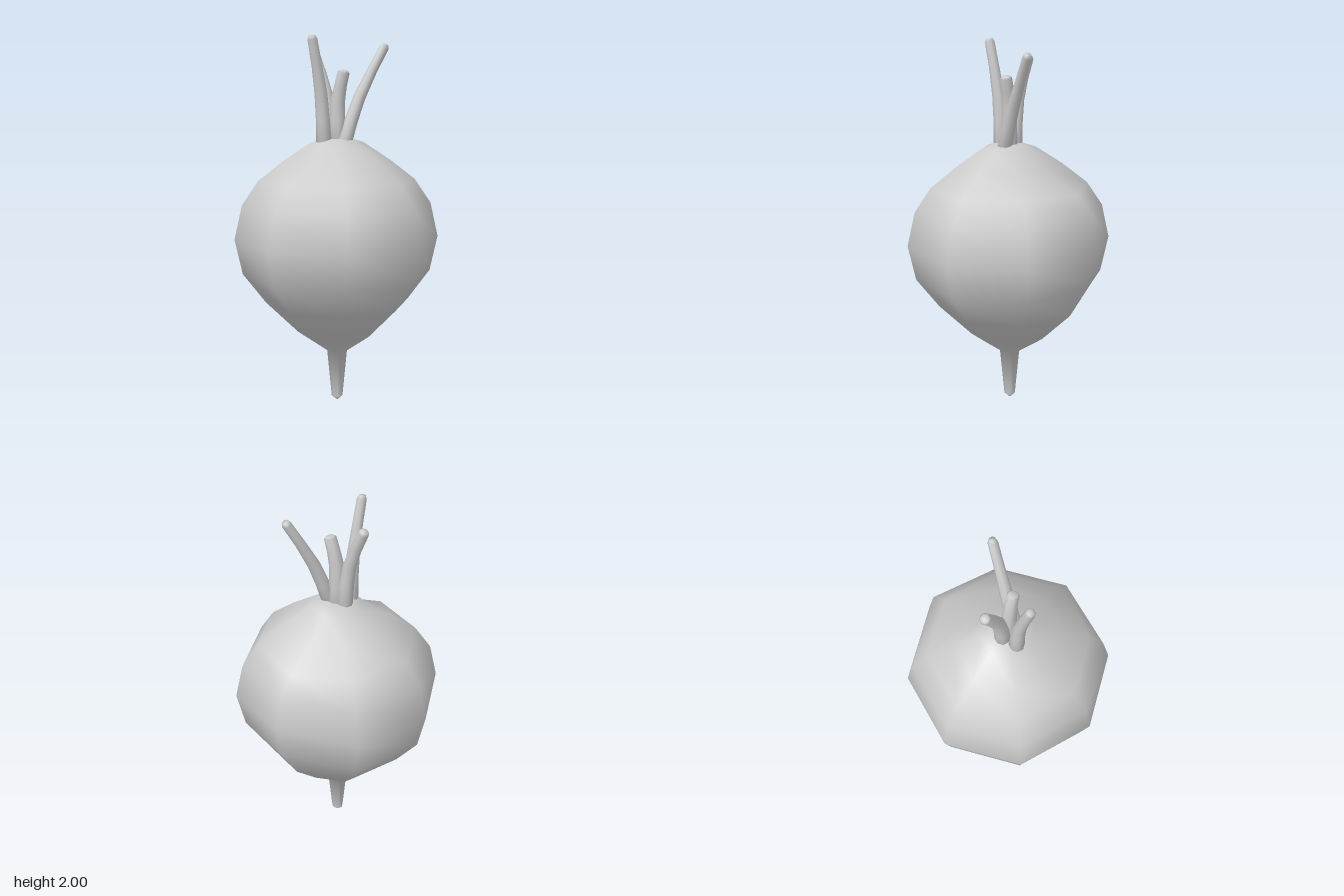
import * as THREE from 'three';
import { mergeVertices } from 'three/addons/utils/BufferGeometryUtils.js';

const material = new THREE.MeshStandardMaterial({ color: 0xcccccc });
const vec2 = ([x, y]) => new THREE.Vector2(x, y);

// Eight-sided turned shape whose vertices are then moved by a rule, smooth shaded
function turned(name, profile, rule) {
  let geo = new THREE.LatheGeometry(profile.map(vec2), 8);
  const pos = geo.attributes.position;
  const v = new THREE.Vector3();
  for (let i = 0; i < pos.count; i++) {
    v.fromBufferAttribute(pos, i);
    rule(v);
    pos.setXYZ(i, v.x, v.y, v.z);
  }
  geo.deleteAttribute('uv');
  geo.deleteAttribute('normal');
  geo = mergeVertices(geo, 1e-4);
  geo.computeVertexNormals();
  const mesh = new THREE.Mesh(geo, material);
  mesh.name = name;
  return mesh;
}

// Tapered stalk following a bent path, with a bevelled tip
function stalk(name, path, r0, r1) {
  const curve = new THREE.CatmullRomCurve3(path.map((p) => new THREE.Vector3(...p)));
  const mid = (r0 + r1) / 2;
  const profile = [[0, 0], [r0, 0], [mid + 0.003, 0.25], [mid, 0.5], [r1 + 0.002, 0.75],
    [r1, 0.97], [r1 * 0.7, 1], [0, 1]];
  return turned(name, profile, (v) => {
    const t = v.y;
    const up = curve.getTangent(t);
    const side = new THREE.Vector3(1, 0, 0).addScaledVector(up, -up.x).normalize();
    const out = new THREE.Vector3().crossVectors(side, up);
    const centre = curve.getPoint(t);
    v.copy(centre.addScaledVector(side, v.x).addScaledVector(out, v.z));
  });
}

export function createModel() {
  const model = new THREE.Group();
  model.name = 'rootVegetable';

  // Round bulb running down into the thin tap root
  const bulbProfile = [[0, 0.005], [0.03, 0.03], [0.055, 0.29], [0.215, 0.4], [0.39, 0.57],
    [0.513, 0.73], [0.555, 0.92], [0.513, 1.105], [0.425, 1.235], [0.285, 1.345],
    [0.14, 1.44], [0.07, 1.46], [0, 1.46]];
  model.add(turned('bulbWithTapRoot', bulbProfile, (v) => {
    const onZ = Math.abs(v.x) < 1e-4;
    // dented shoulder at front and back
    if (onZ && Math.abs(v.y - 1.345) < 0.01) v.z *= 0.79;
    // fuller, slightly raised back ridge
    else if (onZ && v.z < -0.5) v.y += 0.043;
  }));

  // Cut leaf stalks
  model.add(
    stalk('frontStalk', [[-0.03, 1.44, 0.075], [-0.033, 1.7, 0.095], [-0.04, 2.0, 0.16]], 0.042, 0.026),
    stalk('backStalk', [[0.05, 1.44, 0], [0.085, 1.68, -0.085], [0.157, 1.955, -0.22]], 0.04, 0.025),
    stalk('rightStalk', [[-0.045, 1.44, 0], [-0.075, 1.69, 0], [-0.165, 1.91, -0.01]], 0.042, 0.029),
    stalk('shortStalk', [[0.005, 1.44, 0], [0.005, 1.66, 0], [0.043, 1.82, -0.005]], 0.045, 0.032),
  );
  return model;
}
